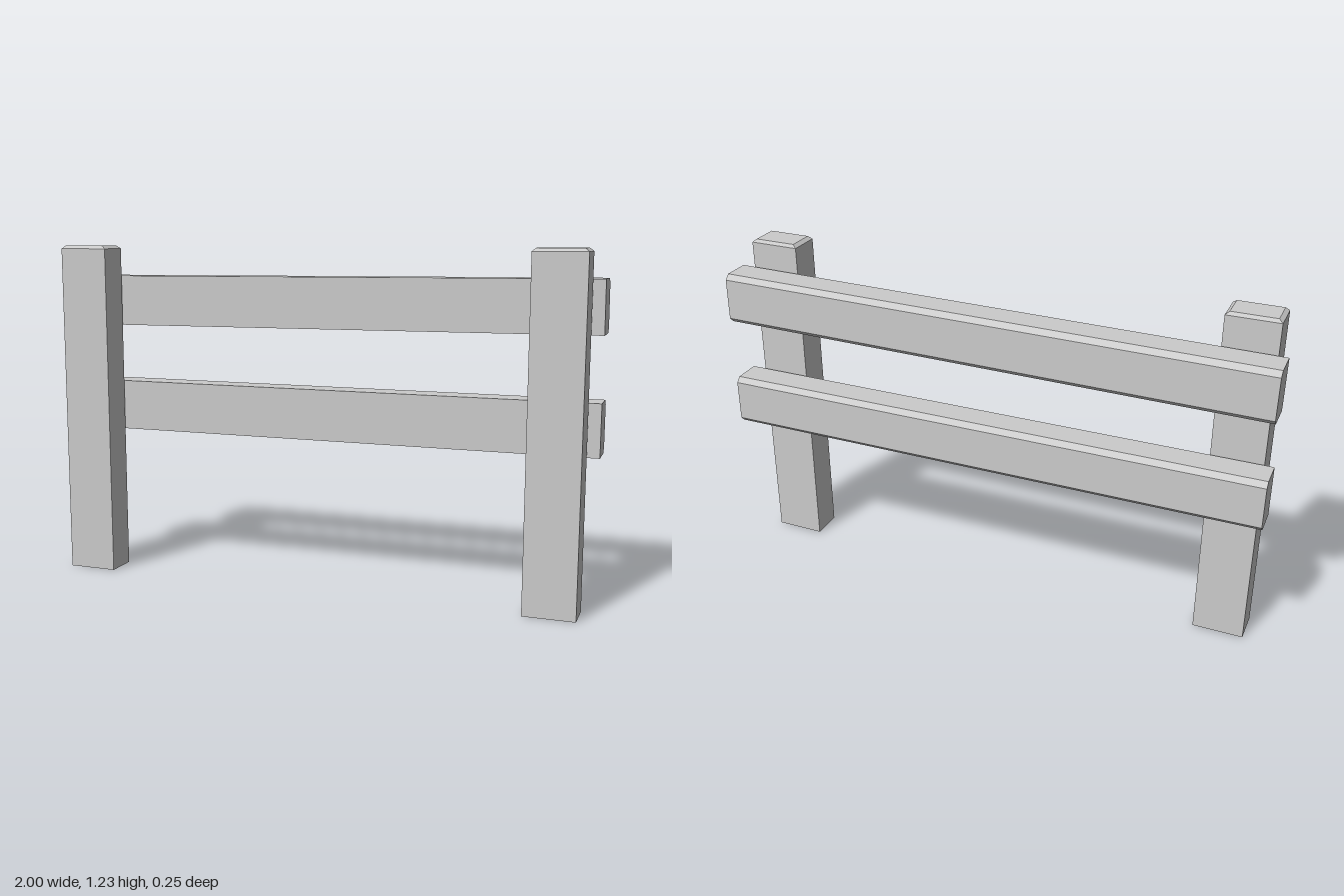
import * as THREE from 'three';

const material = new THREE.MeshStandardMaterial({ color: 0xcccccc, flatShading: true, side: THREE.DoubleSide });

// Square post with a bevelled cap and an open foot
function makePost(name, x) {
  const r = Math.SQRT1_2;
  const profile = [[r, 0], [r, 1.214], [r * 0.85, 1.225], [0, 1.225]].map(([a, y]) => new THREE.Vector2(a, y));
  const geometry = new THREE.LatheGeometry(profile, 4, Math.PI / 4);
  geometry.scale(0.182, 1, 0.118);
  const post = new THREE.Mesh(geometry, material);
  post.name = name;
  post.position.set(x, 0, 0.067);
  return post;
}

// Rail along x, with both long back edges chamfered
function makeRail(name, y, z, turnY, tiltZ) {
  const h = 0.0925, d = 0.0585, c = 0.018, length = 1.998;
  const section = new THREE.Shape([
    [-d, -h], [d - c, -h], [d, -h + c], [d, h - c], [d - c, h], [-d, h],
  ].map(([a, b]) => new THREE.Vector2(a, b)));
  const geometry = new THREE.ExtrudeGeometry(section, { depth: length, bevelEnabled: false });
  geometry.translate(0, 0, -length / 2);
  geometry.rotateY(Math.PI / 2);
  const rail = new THREE.Mesh(geometry, material);
  rail.name = name;
  rail.position.set(0, y, z);
  rail.rotation.set(0, turnY, tiltZ);
  return rail;
}

export function createModel() {
  const fence = new THREE.Group();
  fence.name = 'fence';
  fence.add(
    makePost('rightPost', -0.874),
    makePost('leftPost', 0.867),
    // The rails sit slightly askew
    makeRail('upperRail', 1.025, -0.0635, 0, 0.007),
    makeRail('lowerRail', 0.622, -0.0615, 0.005, 0),
  );
  return fence;
}
